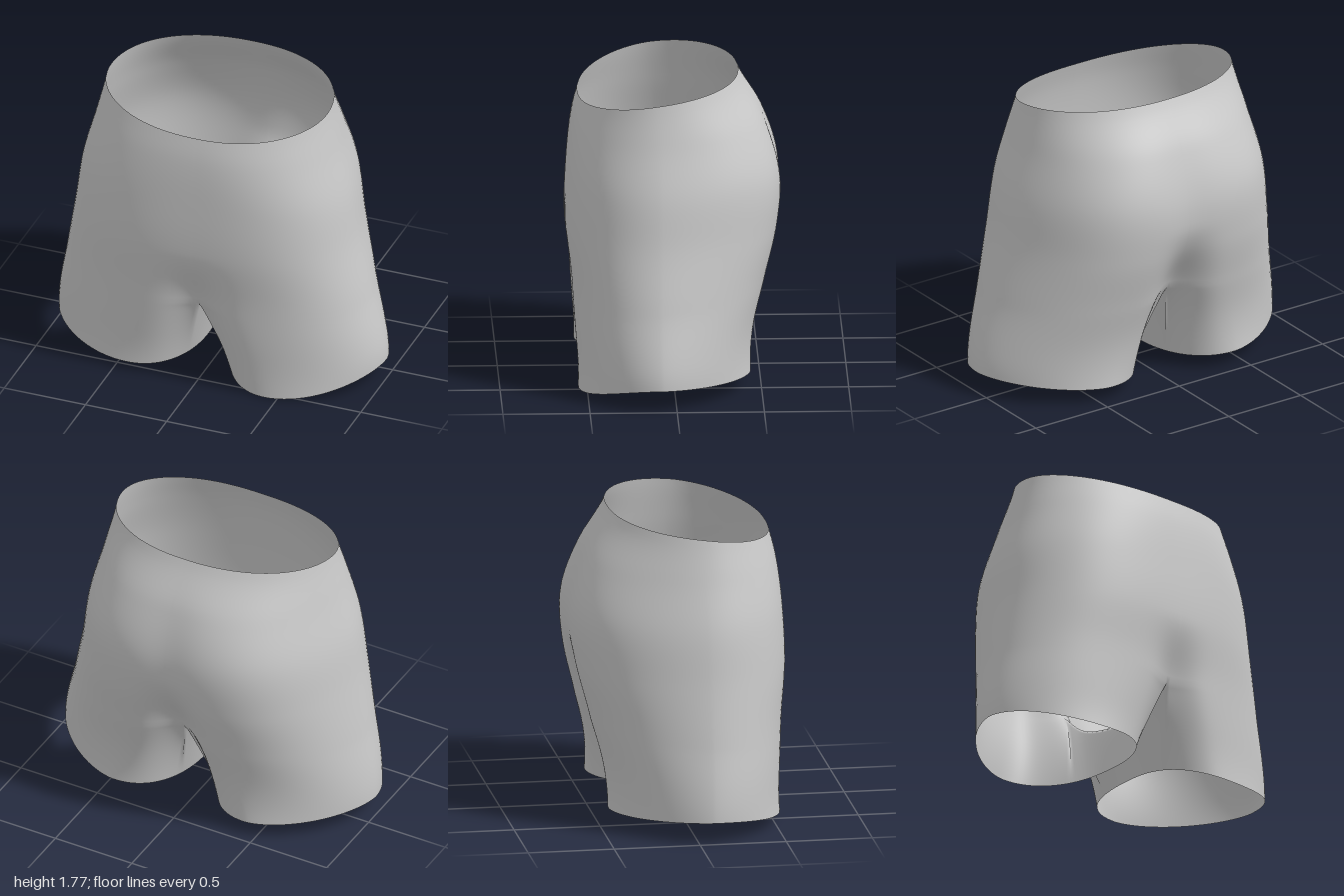
import * as THREE from 'three';
import { mergeVertices } from 'three/addons/utils/BufferGeometryUtils.js';

const OUT = 80, IN = 24, TORSO_ROWS = 32, LEG_ROWS = 18;

// Smooth table of values spaced evenly from y = 0 to y = 1.8
const table = values => {
  const curve = new THREE.SplineCurve(values.map((v, i) => new THREE.Vector2(i, v)));
  return y => curve.getPoint(THREE.MathUtils.clamp(y / 1.8, 0, 1)).y;
};
const widthLeft = table([1.02, 0.96, 0.9, 0.83, 0.78, 0.70, 0.64]);
const widthRight = table([1.01, 0.975, 0.93, 0.88, 0.835, 0.755, 0.69]);
const frontZ = table([0.55, 0.575, 0.59, 0.615, 0.605, 0.575, 0.505]);
const backZ = table([-0.43, -0.47, -0.535, -0.605, -0.62, -0.53, -0.37]);

const { lerp, smoothstep } = THREE.MathUtils;
const power = (v, e) => Math.sign(v) * Math.abs(v) ** e;

// Point on the body at height y; a runs from centre front (0) to centre back (PI)
function bodyPoint(a, y, side) {
  const c = Math.cos(a), s = Math.min(1, Math.max(0, Math.sin(a)));
  const round = smoothstep(y, 1.2, 1.75);
  const x = (side > 0 ? widthLeft : widthRight)(y) * s;
  const flat = lerp(c > 0 ? 3 : 3.4, 2.2, round);
  const taper = c > 0 ? 0.5 : lerp(0.65, 0.5, round);
  const depth = (1 - s ** flat) ** taper;
  const mid = 0.1;
  let z = mid + (c > 0 ? frontZ(y) - mid : backZ(y) - mid) * depth;
  // Hollow along the centre line towards the crotch
  const hollow = Math.exp(-((x / 0.15) ** 2));
  if (c > 0) z -= 0.09 * (1 - smoothstep(y, 0.45, 0.88)) * hollow;
  else z += (0.13 * (1 - smoothstep(y, 0.55, 1.05)) + 0.015 * (1 - round)) * hollow;
  return new THREE.Vector3(x * side, y, z);
}

// Point on the leg opening; a = 0 front, PI / 2 outside, PI back
function hemPoint(a, side) {
  const c = Math.cos(a), s = Math.sin(a);
  const e = s < 0 ? 0.88 : c > 0 ? 1.08 : 1.25;
  const frontY = side > 0 ? 0.0 : 0.05;
  const sideY = s > 0 ? 0.125 : 0.065;
  const endY = c > 0 ? frontY : 0.085;
  return new THREE.Vector3(
    side * (0.43 + (s > 0 ? 0.57 : 0.34) * power(s, e)),
    lerp(endY, sideY, s * s),
    0.09 + (c > 0 ? 0.46 : 0.53) * power(c, e));
}

// Rows of points for one half: waist to crotch, then around the leg to the hem
function buildHalf(side, positions) {
  const torso = [], leg = [];
  const angles = Array.from({ length: OUT + 1 }, (_, i) => {
    const t = i / OUT;
    return Math.PI * t - 0.3 * Math.sin(2 * Math.PI * t); // closer together at the centre line
  });
  for (let j = 0; j <= TORSO_ROWS; j++) {
    torso.push(angles.map((a, i) => {
      const c = Math.cos(a);
      const waistY = 1.725 - 0.065 * c - 0.02 * c * c;
      const splitY = 0.55 - 0.04 * c;
      const p = bodyPoint(a, lerp(waistY, splitY, j / TORSO_ROWS), side);
      if (i === 0 || i === OUT) p.x = 0;
      return p;
    }));
  }

  // Crotch seam from back to front closes the top of the leg
  const top = torso[TORSO_ROWS];
  const seam = new THREE.CatmullRomCurve3([
    top[OUT], new THREE.Vector3(0, 0.45, -0.22), new THREE.Vector3(0, 0.385, 0.05),
    new THREE.Vector3(0, 0.4, 0.28), top[0]]);
  const inner = seam.getPoints(IN).slice(1);
  const overlap = Math.PI / 3;
  for (let j = 0; j <= LEG_ROWS; j++) {
    const t = j / LEG_ROWS;
    // Outside: the body line runs on downwards and eases into the hem
    const row = angles.map((a, i) => {
      const turn = Math.exp(-a / 0.35) - Math.exp((a - Math.PI) / 0.35);
      const hem = hemPoint(a - overlap * turn, side);
      const y = lerp(top[i].y, hem.y, t);
      const ease = lerp(1.8, 0.95, Math.exp(-((Math.sin(a) / 0.3) ** 2)));
      const p = bodyPoint(a, y, side);
      if (i === 0 || i === OUT) p.x = 0;
      p.lerp(hem, t ** ease);
      p.y = y;
      return p;
    });
    // Inside: from the crotch seam to the hem
    inner.forEach((p, k) => {
      const a = lerp(Math.PI + overlap, 2 * Math.PI - overlap, (k + 1) / IN);
      const hem = hemPoint(a, side);
      const q = p.clone().lerp(hem, t ** 0.95);
      q.y = lerp(p.y, hem.y, t);
      row.push(q);
    });
    row[row.length - 1] = row[0];
    leg.push(row);
  }

  for (const rows of [torso, leg]) {
    for (let j = 0; j + 1 < rows.length; j++) {
      for (let i = 0; i + 1 < rows[j].length; i++) {
        const a = rows[j][i], b = rows[j][i + 1], c = rows[j + 1][i], d = rows[j + 1][i + 1];
        const corners = side > 0 ? [a, c, b, b, c, d] : [a, b, c, b, d, c];
        corners.forEach(p => positions.push(p.x, p.y, p.z));
      }
    }
  }
}

export function createModel() {
  const fabric = new THREE.MeshStandardMaterial({ color: 0xc8c8c8, side: THREE.DoubleSide });
  fabric.name = 'grey fabric';

  const positions = [];
  for (const side of [1, -1]) buildHalf(side, positions);
  let geometry = new THREE.BufferGeometry();
  geometry.setAttribute('position', new THREE.Float32BufferAttribute(positions, 3));
  geometry = mergeVertices(geometry, 1e-4);
  geometry.computeVertexNormals();

  const shorts = new THREE.Mesh(geometry, fabric);
  shorts.name = 'shorts';
  const model = new THREE.Group();
  model.name = 'shortsModel';
  model.add(shorts);
  return model;
}
